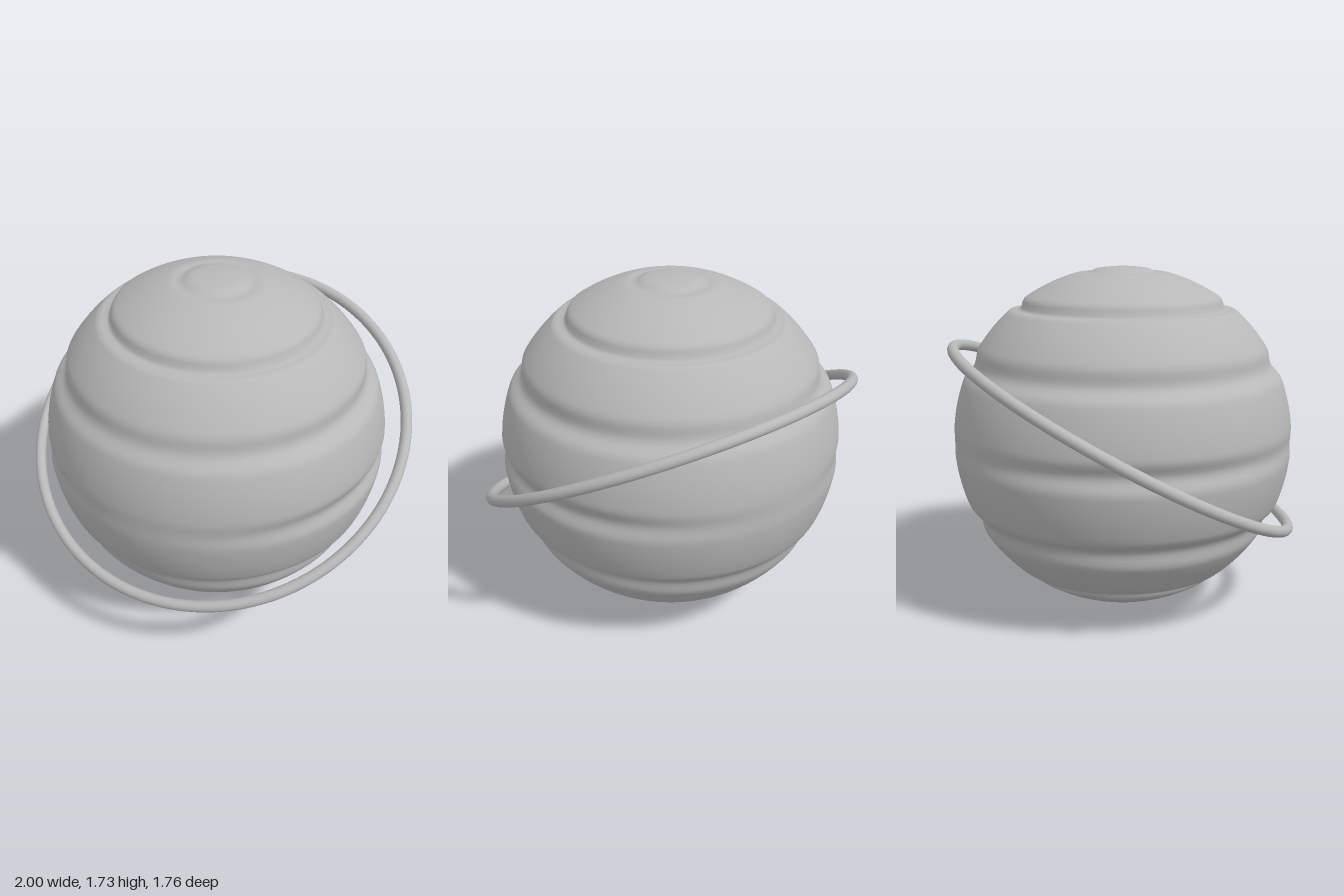
import * as THREE from 'three';
import { mergeVertices } from 'three/addons/utils/BufferGeometryUtils.js';

const RADIUS = 0.866;
const CENTER_Y = 0.867;

// Grooves cut round the globe: latitude, half width (degrees), depth at the sides, depth at front and back
const GROOVES = [
  [0, 5.3, 0.03, 0.003],
  [27, 6, 0.034, 0.022],
  [52, 3.2, 0.03, 0.03],
  [78.3, 3.2, 0.012, 0.012],
];

function grooveDepth(latitude, sideways) {
  let depth = 0;
  for (const [centre, halfWidth, side, front] of GROOVES) {
    const t = Math.abs(Math.abs(latitude) - centre) / halfWidth;
    if (t < 1) depth += (front + (side - front) * sideways) * (0.5 + 0.5 * Math.cos(Math.PI * t));
  }
  return depth;
}

// Sphere with its surface pushed in along the grooves
function bandedGlobe() {
  const sphere = new THREE.SphereGeometry(RADIUS, 96, 140);
  sphere.deleteAttribute('uv');
  sphere.deleteAttribute('normal');
  const geometry = mergeVertices(sphere, 1e-5);
  const position = geometry.attributes.position;
  const p = new THREE.Vector3();
  for (let i = 0; i < position.count; i++) {
    p.fromBufferAttribute(position, i);
    const latitude = THREE.MathUtils.radToDeg(Math.asin(THREE.MathUtils.clamp(p.y / RADIUS, -1, 1)));
    const sideways = (p.x * p.x) / (p.x * p.x + p.z * p.z + 1e-9);
    p.setLength(RADIUS - grooveDepth(latitude, sideways));
    position.setXYZ(i, p.x, p.y, p.z);
  }
  geometry.computeVertexNormals();
  return geometry;
}

export function createModel() {
  const model = new THREE.Group();
  model.name = 'ringedPlanet';
  const grey = new THREE.MeshStandardMaterial({ color: 0xb8b8b8 });
  grey.name = 'light grey';

  // Planet body
  const planet = new THREE.Mesh(bandedGlobe(), grey);
  planet.name = 'planet';
  planet.position.y = CENTER_Y;

  // Thin ring, tilted down at the front
  const ring = new THREE.Mesh(new THREE.TorusGeometry(0.972, 0.028, 16, 128), grey);
  ring.name = 'ring';
  ring.position.y = CENTER_Y + 0.003;
  ring.rotation.x = Math.PI / 2 + 0.5;

  model.add(planet, ring);
  return model;
}
